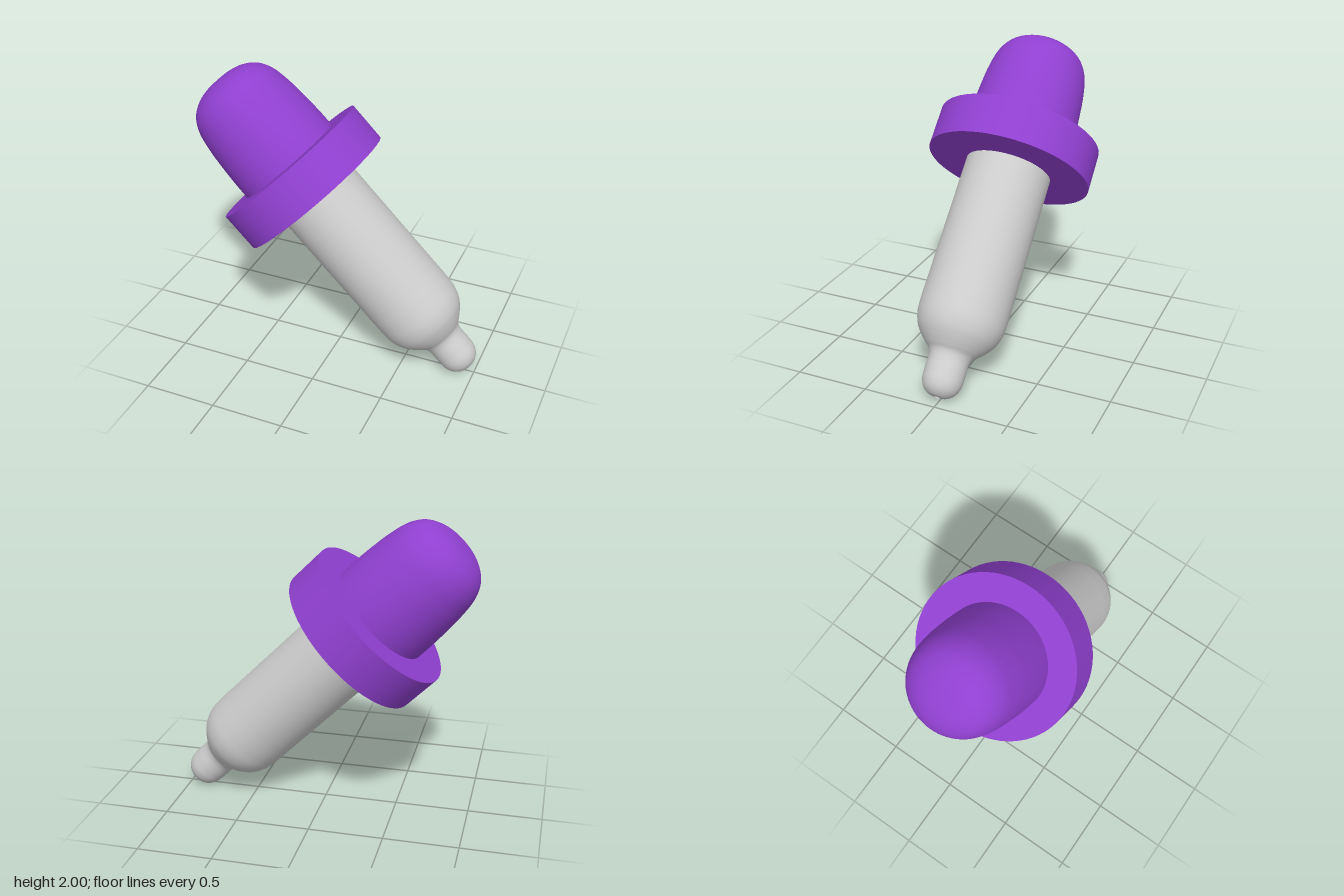
import * as THREE from 'three';

const SEGMENTS = 72;

// Turn a smooth curve through [radius, height] points, listed bottom to top
function lathe(points, samples) {
  const curve = new THREE.CatmullRomCurve3(
    points.map(([r, y]) => new THREE.Vector3(r, y, 0)), false, 'centripetal');
  const profile = curve.getPoints(samples).map(p => new THREE.Vector2(Math.max(p.x, 0), p.y));
  return new THREE.LatheGeometry(profile, SEGMENTS);
}

export function createModel() {
  const purple = new THREE.MeshStandardMaterial({ color: 0x9040d0 });
  const grey = new THREE.MeshStandardMaterial({ color: 0xcccccc });
  const dropper = new THREE.Group();
  dropper.name = 'dropper';

  const add = (name, geometry, material, y = 0) => {
    const mesh = new THREE.Mesh(geometry, material);
    mesh.name = name;
    mesh.position.y = y;
    dropper.add(mesh);
  };

  // Soft squeeze bulb, tapering into a blunt dome
  add('bulb', lathe([
    [0.371, 0.5], [0.37, 0.62], [0.362, 0.78], [0.349, 0.92], [0.32, 1.06],
    [0.269, 1.147], [0.19, 1.202], [0.1, 1.228], [0, 1.234],
  ], 60), purple);

  // Wide sharp-edged collar
  add('collar', new THREE.CylinderGeometry(0.562, 0.562, 0.275, SEGMENTS), purple, 0.387);

  // Glass barrel with rounded shoulder, flared neck and rounded nozzle
  add('barrel', lathe([
    [0.022, -1.351], [0.06, -1.343], [0.104, -1.31], [0.128, -1.26], [0.133, -1.19],
    [0.134, -1.1], [0.147, -1.064], [0.18, -1.033], [0.222, -0.99], [0.262, -0.935],
    [0.288, -0.86], [0.295, -0.76], [0.295, -0.6], [0.295, 0.3],
  ], 120), grey);

  // Small bore in the nozzle end, seen from inside
  add('nozzleBore', new THREE.LatheGeometry([
    new THREE.Vector2(0, -1.25), new THREE.Vector2(0.022, -1.25), new THREE.Vector2(0.022, -1.351),
  ], 24), new THREE.MeshStandardMaterial({ color: 0xcccccc, side: THREE.DoubleSide }));

  // Lean the whole dropper diagonally, nozzle down towards +x
  dropper.rotation.z = Math.PI / 4;
  dropper.position.y = 1;
  const model = new THREE.Group();
  model.add(dropper);
  return model;
}
